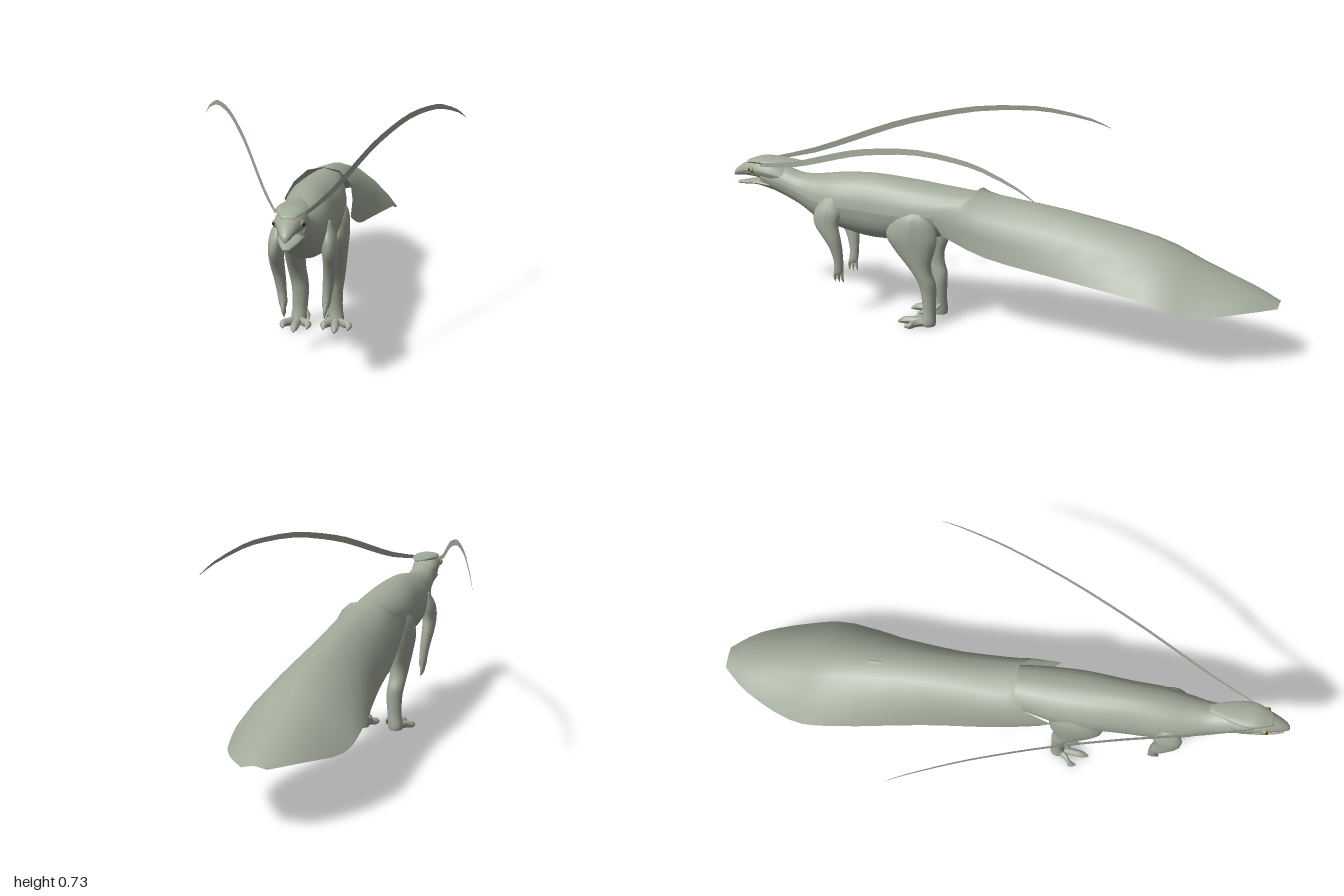
import * as THREE from 'three';

const skin = new THREE.MeshStandardMaterial({ name: 'grey green skin', color: 0xa2aa9a });
const plume = new THREE.MeshStandardMaterial({ name: 'grey green plumage', color: 0xa2aa9a, side: THREE.DoubleSide });
const iris = new THREE.MeshStandardMaterial({ name: 'amber eye', color: 0xa8934a });
const black = new THREE.MeshStandardMaterial({ name: 'dark pupil', color: 0x1c1c18 });

// Smooth interpolation through rows of numbers
function refine(rows, steps) {
  const out = [];
  const at = i => rows[Math.min(rows.length - 1, Math.max(0, i))];
  for (let i = 0; i < rows.length - 1; i++) {
    for (let s = 0; s < steps; s++) {
      const t = s / steps;
      out.push(at(i).map((p1, k) => {
        const p0 = at(i - 1)[k], p2 = at(i + 1)[k], p3 = at(i + 2)[k];
        return p1 + 0.5 * t * (p2 - p0 + t * (2 * p0 - 5 * p1 + 4 * p2 - p3 + t * (3 * (p1 - p2) + p3 - p0)));
      }));
    }
  }
  out.push(at(rows.length - 1));
  return out;
}

// Surface through a grid of points
function surface(grid) {
  const n = grid[0].length, index = [];
  for (let i = 0; i < grid.length - 1; i++) {
    for (let j = 0; j < n - 1; j++) {
      const a = i * n + j, b = a + 1, c = a + n, d = c + 1;
      index.push(a, b, c, b, d, c);
    }
  }
  const g = new THREE.BufferGeometry();
  g.setAttribute('position', new THREE.Float32BufferAttribute(grid.flat(2), 3));
  g.setIndex(index);
  g.computeVertexNormals();
  return g;
}

// Oval loft. Along z (ascending): [z, x, y, rx, ry]. Along y (descending): [y, x, z, rx, rz]
function loft(axis, rows, sides = 16, steps = 4) {
  const r = refine(rows, steps);
  const tip = p => [p[0], p[1], p[2], 0, 0];
  const grid = [tip(r[0]), ...r, tip(r[r.length - 1])].map(([p, x, c, rx, rc]) => {
    const ring = [];
    for (let j = 0; j <= sides; j++) {
      const a = (j % sides) / sides * Math.PI * 2;
      const u = x + Math.max(0, rx) * Math.cos(a), v = c + Math.max(0, rc) * Math.sin(a);
      ring.push(axis === 'z' ? [u, v, p] : [u, p, v]);
    }
    return ring;
  });
  return surface(grid);
}

// Rows on the centre line given by top and bottom heights: [z, top, bottom, rx]
const spine = rows => rows.map(([z, t, b, rx]) => [z, 0, (t + b) / 2, rx, (t - b) / 2]);

export function createModel() {
  const model = new THREE.Group();
  const add = (name, geometry, material = skin) => {
    const m = new THREE.Mesh(geometry, material);
    m.name = name;
    model.add(m);
    return m;
  };

  // Torso, neck and tapering tail
  add('body', loft('z', spine([
    [-0.46, 0.425, 0.41, 0.008], [-0.2, 0.47, 0.4, 0.035], [0, 0.492, 0.38, 0.065],
    [0.12, 0.503, 0.352, 0.085], [0.2, 0.51, 0.325, 0.095], [0.3, 0.52, 0.305, 0.1],
    [0.45, 0.53, 0.297, 0.09], [0.57, 0.523, 0.318, 0.088], [0.66, 0.51, 0.345, 0.073],
    [0.73, 0.507, 0.388, 0.056], [0.8, 0.525, 0.42, 0.049], [0.88, 0.53, 0.45, 0.042],
  ]), 24));

  // Head with parted jaws and a flat pointed crest
  add('upperHead', loft('z', spine([
    [0.78, 0.515, 0.46, 0.04], [0.84, 0.545, 0.465, 0.05], [0.9, 0.547, 0.477, 0.045],
    [0.95, 0.53, 0.48, 0.03], [0.985, 0.507, 0.477, 0.017], [1, 0.49, 0.474, 0.006],
  ])));
  add('lowerJaw', loft('z', spine([
    [0.84, 0.482, 0.437, 0.042], [0.9, 0.472, 0.452, 0.036],
    [0.95, 0.463, 0.448, 0.023], [0.985, 0.455, 0.446, 0.01],
  ])));
  add('crest', loft('z', spine([
    [0.72, 0.55, 0.544, 0.012], [0.78, 0.552, 0.538, 0.034], [0.84, 0.556, 0.53, 0.048],
    [0.89, 0.556, 0.53, 0.043], [0.94, 0.54, 0.526, 0.02],
  ]), 12));

  // Arched tail fan, half profiles from ridge to lower edge
  const half = [
    [[0, 0.51, 0.06], [0.055, 0.5, 0.06], [0.098, 0.465, 0.1], [0.115, 0.43, 0.2], [0.105, 0.36, 0.16]],
    [[0, 0.497, 0], [0.06, 0.477, 0], [0.1, 0.43, 0], [0.115, 0.37, 0], [0.12, 0.303, 0]],
    [[0, 0.465, -0.25], [0.05, 0.45, -0.25], [0.1, 0.4, -0.25], [0.13, 0.34, -0.25], [0.147, 0.27, -0.25]],
    [[0, 0.398, -0.57], [0.06, 0.384, -0.57], [0.12, 0.338, -0.57], [0.17, 0.285, -0.57], [0.2, 0.24, -0.57]],
    [[0, 0.333, -0.73], [0.06, 0.318, -0.73], [0.11, 0.285, -0.73], [0.155, 0.24, -0.73], [0.19, 0.197, -0.73]],
    [[0, 0.262, -0.9], [0.035, 0.257, -0.9], [0.065, 0.246, -0.9], [0.095, 0.23, -0.9], [0.12, 0.208, -0.9]],
    [[0, 0.215, -1], [0.01, 0.214, -1], [0.02, 0.212, -1], [0.03, 0.21, -1], [0.04, 0.207, -1]],
  ];
  const fan = half.map(r => [...r.slice(1).reverse().map(([x, y, z]) => [-x, y, z]), ...r].flat());
  const fanGrid = refine(fan, 3).map(r => Array.from({ length: 9 }, (_, i) => r.slice(i * 3, i * 3 + 3)));
  add('tailFan', surface(fanGrid), plume);

  // Long head ribbons: [x, y, half height]
  const ribbon = refine([
    [0.045, 0.535, 0.006], [0.1, 0.565, 0.01], [0.15, 0.61, 0.012], [0.2, 0.657, 0.012],
    [0.25, 0.69, 0.011], [0.305, 0.714, 0.01], [0.36, 0.716, 0.009], [0.4, 0.705, 0.008],
    [0.45, 0.668, 0.005], [0.475, 0.635, 0.001],
  ], 2);

  for (const s of [1, -1]) {
    const side = s > 0 ? 'left' : 'right';
    const place = rows => rows.map(([p, x, ...rest]) => [p, x * s, ...rest]);

    add(side + 'Ribbon', surface(ribbon.map(([x, y, h]) => {
      const z = 0.875 - (x - 0.045) * 2.71;
      return [[x * s, y + h, z], [x * s, y - h, z]];
    })), plume);

    // Eye
    const eye = add(side + 'Eye', new THREE.SphereGeometry(0.013, 16, 12), iris);
    eye.position.set(0.036 * s, 0.512, 0.913);
    const pupil = add(side + 'Pupil', new THREE.SphereGeometry(0.006, 12, 8), black);
    pupil.position.set(0.043 * s, 0.513, 0.92);

    // Hind leg
    add(side + 'HindLeg', loft('y', place([
      [0.44, 0.07, 0.26, 0.02, 0.03], [0.4, 0.075, 0.275, 0.036, 0.075], [0.34, 0.077, 0.285, 0.038, 0.095],
      [0.29, 0.074, 0.277, 0.036, 0.078], [0.24, 0.07, 0.265, 0.034, 0.05], [0.2, 0.067, 0.25, 0.032, 0.035],
      [0.16, 0.062, 0.234, 0.031, 0.031], [0.12, 0.058, 0.23, 0.029, 0.027], [0.06, 0.06, 0.228, 0.026, 0.023],
      [0.02, 0.064, 0.23, 0.027, 0.027], [0.004, 0.064, 0.23, 0.024, 0.025],
    ])));
    // Toes splayed outwards, and a small inner spur
    [[0.068, 0.345], [0.11, 0.305], [0.028, 0.305]].forEach(([x, z], i) => {
      const m = (0.064 + x) / 2;
      add(side + 'Toe' + (i + 1), loft('z', place([
        [0.22, 0.064, 0.016, 0.016, 0.014], [(0.22 + z) / 2, m, 0.016, 0.014, 0.014],
        [z - 0.025, x, 0.014, 0.013, 0.013], [z, x, 0.006, 0.003, 0.004],
      ]), 10));
    });
    add(side + 'Spur', loft('y', place([
      [0.05, 0.045, 0.225, 0.01, 0.01], [0.035, 0.033, 0.23, 0.008, 0.008], [0.018, 0.028, 0.24, 0.002, 0.002],
    ]), 8));

    // Arm with three claws
    add(side + 'Arm', loft('y', place([
      [0.45, 0.07, 0.59, 0.015, 0.025], [0.4, 0.08, 0.6, 0.026, 0.05], [0.35, 0.085, 0.605, 0.025, 0.045],
      [0.3, 0.084, 0.586, 0.023, 0.032], [0.26, 0.079, 0.574, 0.02, 0.023], [0.21, 0.073, 0.568, 0.016, 0.017],
      [0.175, 0.069, 0.57, 0.014, 0.017], [0.16, 0.068, 0.572, 0.01, 0.014],
    ])));
    [-1, 0, 1].forEach(k => add(side + 'Finger' + (k + 2), loft('y', place([
      [0.175, 0.069, 0.57 + k * 0.01, 0.007, 0.007],
      [0.15, 0.067, 0.573 + k * 0.014, 0.006, 0.006],
      [0.128, 0.064, 0.57 + k * 0.015, 0.001, 0.001],
    ]), 8)));
  }
  return model;
}
